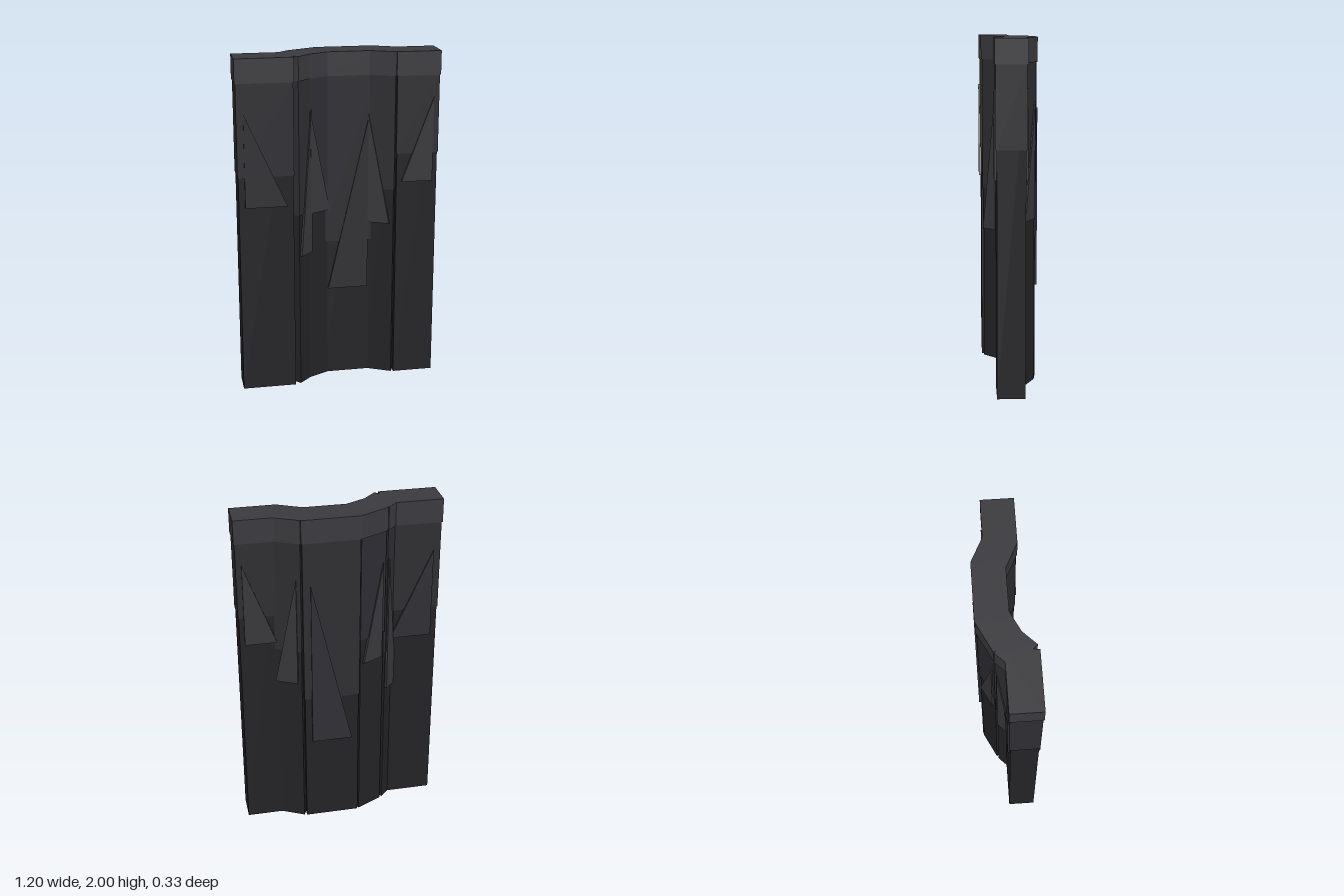
import * as THREE from 'three';

const CAP_Y = 1.86, TOP_Y = 2;
const material = (color) => new THREE.MeshStandardMaterial({ color, flatShading: true });

// One entry per plank of the folded wall, right to left across the front.
// x, z: centre; turn: degrees about y; w: width; hem: bottom of the upper layer;
// shard: [half width, side of the tip, bottom, tip height]
const PANELS = [
  { x: -0.4325, z: 0.07, turn: 0, w: 0.335, hem: 1.32, shard: [0.1225, -1, 1.14, 1.69] },
  { x: -0.256, z: 0.038, turn: 45, w: 0.136, hem: 1.07, shard: [0.052, 1, 0.82, 1.68], light: true },
  { x: -0.142, z: -0.038, turn: 26.57, w: 0.19, hem: 1.22, shard: [0.068, -1, 1.06, 1.67], light: true },
  { x: 0.07, z: -0.073, turn: 0, w: 0.34, hem: 0.86, shard: [0.12, 1, 0.56, 1.6] },
  { x: 0.29, z: -0.037, turn: -26.57, w: 0.195, hem: 1.18, shard: [0.067, -1, 0.97, 1.64], light: true },
  { x: 0.47, z: -0.003, turn: 0, w: 0.26, hem: 1.4, shard: [0.0925, 1, 1.23, 1.73], light: true },
];

export function createModel() {
  const model = new THREE.Group();
  model.name = 'foldedWall';

  const bodyMat = material(0x232326);
  const layerMat = material(0x2e2e32);
  const shardMat = material(0x303034);
  const lightShardMat = material(0x38383b);
  const capMat = material(0x3a3a3e);

  // Upright slab between two heights
  const slab = (name, w, depth, y0, y1, mat) => {
    const mesh = new THREE.Mesh(new THREE.BoxGeometry(w, y1 - y0, depth), mat);
    mesh.position.y = (y0 + y1) / 2;
    mesh.name = name;
    return mesh;
  };

  // Triangular splinter that shows on both faces of a plank
  const splinter = ([half, side, bottom, tip], mat) => {
    const depth = 0.187;
    const shape = new THREE.Shape([
      new THREE.Vector2(-half, bottom),
      new THREE.Vector2(half, bottom),
      new THREE.Vector2(side * half, tip),
    ]);
    const geo = new THREE.ExtrudeGeometry(shape, { depth, bevelEnabled: false });
    geo.translate(0, 0, -depth / 2);
    const mesh = new THREE.Mesh(geo, mat);
    mesh.name = 'shard';
    return mesh;
  };

  for (const p of PANELS) {
    const panel = new THREE.Group();
    panel.name = 'panel';
    panel.position.set(p.x, 0, p.z);
    panel.rotation.y = THREE.MathUtils.degToRad(p.turn);
    panel.add(
      slab('lowerBody', p.w - 0.018, 0.16, 0, CAP_Y, bodyMat),
      slab('upperLayer', p.w - 0.01, 0.171, p.hem, CAP_Y, layerMat),
      slab('topCap', p.w, 0.182, CAP_Y, TOP_Y, capMat),
      splinter(p.shard, p.light ? lightShardMat : shardMat),
    );
    model.add(panel);
  }
  return model;
}
